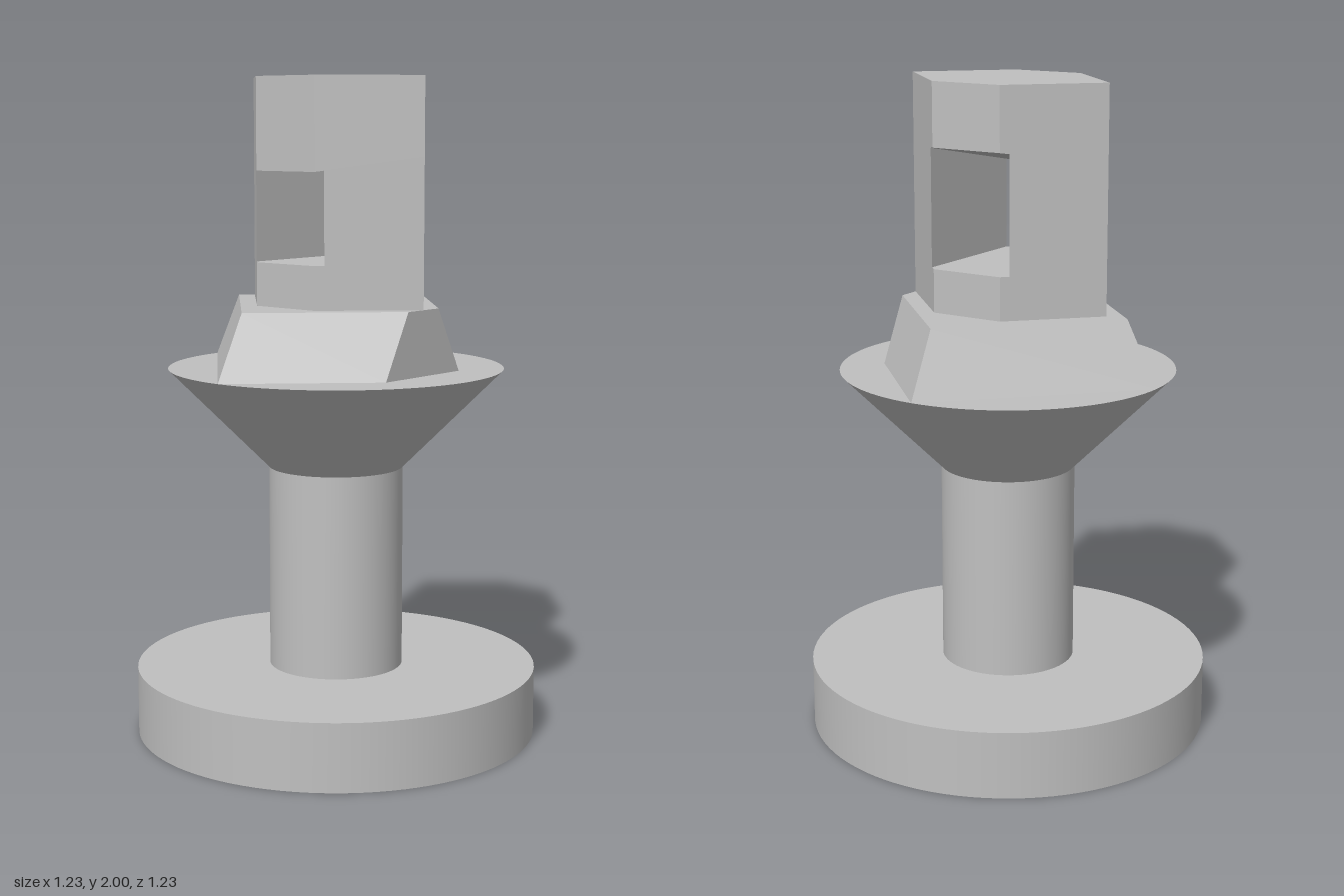
import * as THREE from 'three';

const grey = new THREE.MeshStandardMaterial({ color: 0xc0c0c0 });
grey.name = 'plain grey';

// Convex solid between two rings of [x, y, z] points, with flat faces.
// Rings run from +x towards +z.
function loft(bottom, top) {
  const pos = [];
  const tri = (...pts) => pts.forEach((p) => pos.push(...p));
  const n = bottom.length;
  for (let i = 0; i < n; i++) {
    const j = (i + 1) % n;
    tri(bottom[i], top[i], top[j]);
    tri(bottom[i], top[j], bottom[j]);
    if (i > 0 && i < n - 1) {
      tri(bottom[0], bottom[i], bottom[j]);
      tri(top[0], top[j], top[i]);
    }
  }
  const geo = new THREE.BufferGeometry();
  geo.setAttribute('position', new THREE.Float32BufferAttribute(pos, 3));
  geo.computeVertexNormals();
  return geo;
}

export function createModel() {
  const model = new THREE.Group();
  model.name = 'keyPiece';

  function add(name, geo, y = 0) {
    const mesh = new THREE.Mesh(geo, grey);
    mesh.name = name;
    mesh.position.y = y;
    model.add(mesh);
  }
  const round = (name, rBottom, rTop, y0, y1) =>
    add(name, new THREE.CylinderGeometry(rTop, rBottom, y1 - y0, 96), (y0 + y1) / 2);

  // Turned lower parts
  round('baseDisc', 0.615, 0.615, 0, 0.205);
  round('stem', 0.205, 0.205, 0.205, 0.825);
  round('flaredCollar', 0.205, 0.51, 0.825, 1.13);

  // Tapered diamond shoulder, its front corner cut off upright
  const cut = 0.34;
  const diamond = (r, y) => [
    [r, y, 0], [r - cut, y, cut], [cut - r, y, cut], [-r, y, 0], [0, y, -r],
  ];
  add('diamondShoulder', loft(diamond(0.51, 1.13), diamond(0.41, 1.325)));

  // Six-sided head with a slot through it along x; the slot's ceiling slopes
  const floor = 1.455;
  const ceiling = (x) => 1.7675 + x * (0.0425 / 0.225);
  const ring = (pts, y) => pts.map(([x, z]) => [x, typeof y === 'function' ? y(x) : y, z]);
  const hex = [
    [0.225, -0.115], [0.225, 0.115], [0, 0.34],
    [-0.225, 0.115], [-0.225, -0.115], [0, -0.34],
  ];
  add('headLower', loft(ring(hex, 1.325), ring(hex, floor)));
  add('headUpper', loft(ring(hex, ceiling), ring(hex, 2)));

  // Posts either side of the slot
  for (const [name, s] of [['frontPost', 1], ['backPost', -1]]) {
    const post = [[0.205 * s, 0.135 * s], [0, 0.34 * s], [-0.205 * s, 0.135 * s]];
    add(name, loft(ring(post, floor), ring(post, ceiling)));
  }

  return model;
}
